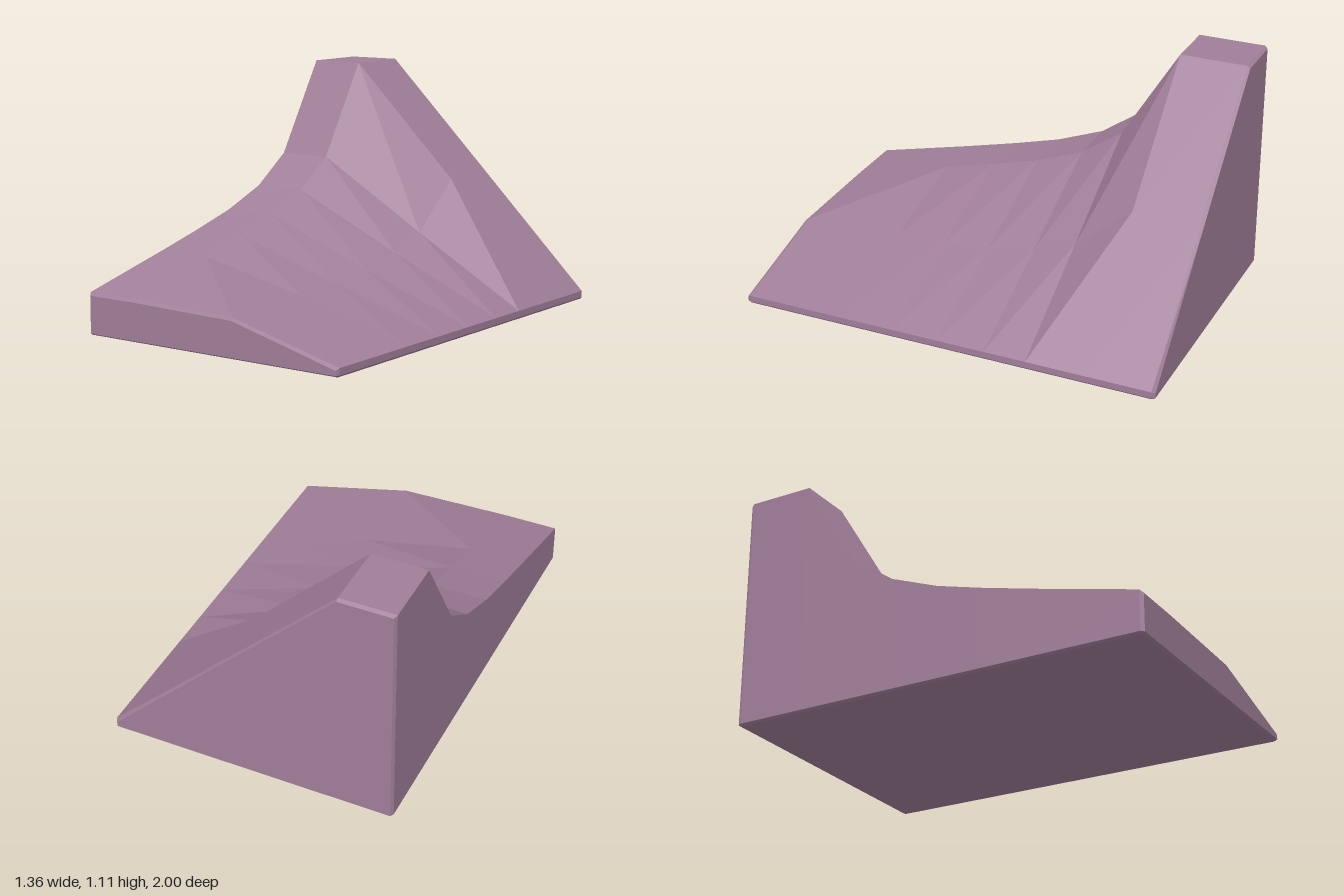
import * as THREE from 'three';

// Stations along z: [z, height of the high side, height of the middle, height of the low lip, end inset]
const STATIONS = [
  [-1, 1.1, 0.565, 0.03, 0.01],
  [-0.985, 1.11, 0.575, 0.04, 0],
  [-0.67, 1.11, 0.575, 0.04, 0],
  [-0.4, 0.67, 0.35, 0.04, 0],
  [-0.2, 0.53, 0.28, 0.04, 0],
  [0.03, 0.44, 0.235, 0.04, 0],
  [0.26, 0.375, 0.205, 0.04, 0],
  [0.51, 0.31, 0.19, 0.04, 0],
  [0.985, 0.192, 0.176, 0.04, 0],
  [1, 0.178, 0.166, 0.03, 0.01],
];

// Closed cross-section, running up the right side, over the slope and down the left side
function section([z, high, mid, low, inset]) {
  const w = 0.68 - inset;
  return [
    [-0.67, inset * 0.8], [-w, 0.01], [-w, high], [-0.42, high],
    [0.13, mid], [w, low], [w, 0.01], [0.67, inset * 0.8],
  ].map(([x, y]) => new THREE.Vector3(x, y, z));
}

function rampGeometry() {
  const rings = STATIONS.map(section);
  const points = [];
  const n = rings[0].length;

  // Skin between neighbouring sections
  for (let k = 0; k < rings.length - 1; k++) {
    for (let i = 0; i < n; i++) {
      const j = (i + 1) % n;
      const a = rings[k][i], b = rings[k][j];
      const c = rings[k + 1][j], d = rings[k + 1][i];
      points.push(a, d, c, a, c, b);
    }
  }

  // Back and front walls
  const back = rings[0], front = rings[rings.length - 1];
  for (let i = 1; i < n - 1; i++) {
    points.push(back[0], back[i], back[i + 1]);
    points.push(front[0], front[i + 1], front[i]);
  }

  const geometry = new THREE.BufferGeometry().setFromPoints(points);
  geometry.computeVertexNormals();
  return geometry;
}

export function createModel() {
  const group = new THREE.Group();
  group.name = 'cornerRamp';
  const material = new THREE.MeshStandardMaterial({ color: 0xa07e99, flatShading: true });
  const ramp = new THREE.Mesh(rampGeometry(), material);
  ramp.name = 'rampBody';
  group.add(ramp);
  return group;
}
